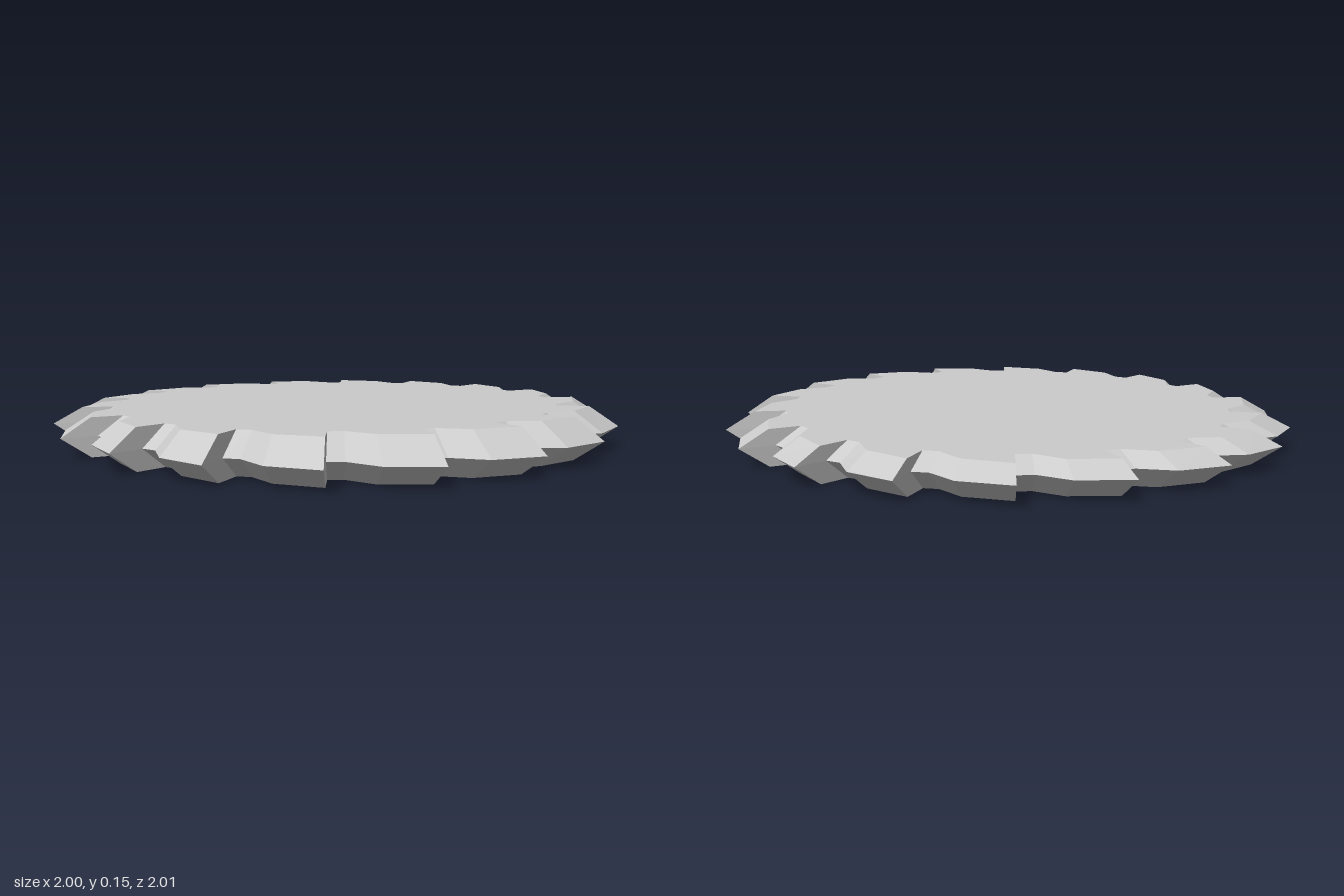
import * as THREE from 'three';

const TEETH = 18;
// One tooth in polar form: [radius, degrees past the tip]
const TOOTH = [[1.008, 0], [0.964, 10.3], [0.882, 16.3], [0.886, 19.9]];
const MID_Y = 0.07;
const INSET = 0.9; // size of the flat faces relative to the cutting edge

// Closed saw-tooth outline in the x-z plane
function outline() {
  const points = [];
  for (let i = 0; i < TEETH; i++) {
    for (const [r, deg] of TOOTH) {
      const a = THREE.MathUtils.degToRad(7.5 + (i * 360) / TEETH + deg);
      points.push([r * Math.cos(a), r * Math.sin(a)]);
    }
  }
  return points;
}

// The upper face slopes gently down towards the back
const topY = (z) => 0.129 + 0.021 * z;

function bladeGeometry() {
  const rim = outline();
  const n = rim.length;
  const position = [];
  const index = [];

  // Cross-sections: lower face, cutting edge, upper face
  for (const [x, z] of rim) position.push(x * INSET, 0, z * INSET);
  for (const [x, z] of rim) position.push(x, MID_Y, z);
  for (const [x, z] of rim) position.push(x * INSET, topY(z * INSET), z * INSET);
  position.push(0, 0, 0, 0, topY(0), 0);
  const bottomCentre = 3 * n;
  const topCentre = bottomCentre + 1;

  for (let i = 0; i < n; i++) {
    const j = (i + 1) % n;
    // Bevels below and above the cutting edge
    for (const low of [0, n]) {
      const high = low + n;
      index.push(low + i, high + i, low + j, low + j, high + i, high + j);
    }
    // Flat faces
    index.push(bottomCentre, i, j);
    index.push(topCentre, 2 * n + j, 2 * n + i);
  }

  const indexed = new THREE.BufferGeometry();
  indexed.setAttribute('position', new THREE.Float32BufferAttribute(position, 3));
  indexed.setIndex(index);
  const geometry = indexed.toNonIndexed();
  geometry.computeVertexNormals();
  return geometry;
}

export function createModel() {
  const group = new THREE.Group();
  group.name = 'sawBlade';
  const material = new THREE.MeshStandardMaterial({ color: 0xcccccc, flatShading: true });
  const blade = new THREE.Mesh(bladeGeometry(), material);
  blade.name = 'toothedDisc';
  group.add(blade);
  return group;
}
